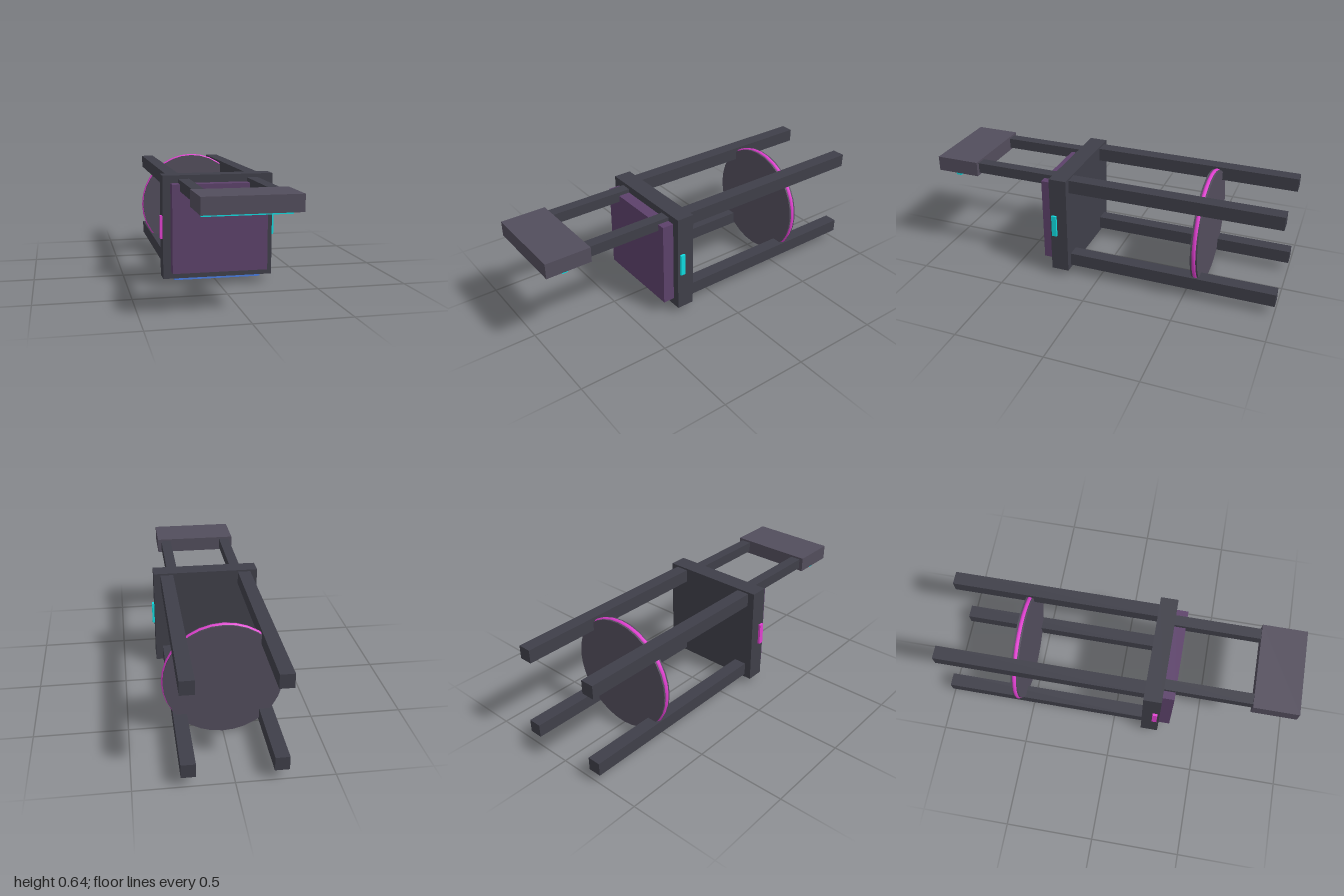
import * as THREE from 'three';

const mat = (color) => new THREE.MeshStandardMaterial({ color });

export function createModel() {
  const group = new THREE.Group();
  const frame = mat(0x3f3f49);
  const panel = mat(0x524d5c);
  const fabric = mat(0x5c416a);
  const cyan = mat(0x10dce0);
  const magenta = mat(0xe040d0);
  const blue = mat(0x4a7de0);

  // Box given by its lower and upper limits on each axis
  const box = (name, material, [x0, x1], [y0, y1], [z0, z1]) => {
    const mesh = new THREE.Mesh(new THREE.BoxGeometry(x1 - x0, y1 - y0, z1 - z0), material);
    mesh.position.set((x0 + x1) / 2, (y0 + y1) / 2, (z0 + z1) / 2);
    mesh.name = name;
    group.add(mesh);
  };

  // Chair lying on its back: upright seat and cushion
  box('seat', frame, [-0.305, 0.305], [0.038, 0.605], [0.17, 0.27]);
  box('cushion', fabric, [-0.263, 0.263], [0.08, 0.563], [0.27, 0.335]);

  // Four legs and two back posts
  for (const [side, s] of [['left', 1], ['right', -1]]) {
    const span = (c, w) => [s * c - w / 2, s * c + w / 2];
    box(side + 'LowerLeg', frame, span(0.228, 0.074), [0.056, 0.13], [-1, 0.17]);
    box(side + 'UpperLeg', frame, span(0.228, 0.074), [0.52, 0.595], [-1, 0.17]);
    box(side + 'BackPost', frame, span(0.19, 0.06), [0.526, 0.585], [0.27, 0.75]);
  }
  box('backrest', panel, [-0.242, 0.242], [0.512, 0.596], [0.75, 1]);

  // Light strips
  box('backrestStrip', cyan, [-0.22, 0.22], [0.489, 0.512], [0.873, 0.905]);
  box('leftSeatStrip', cyan, [0.305, 0.318], [0.26, 0.385], [0.23, 0.258]);
  box('rightSeatStrip', magenta, [-0.318, -0.305], [0.26, 0.385], [0.23, 0.258]);
  box('bottomSeatStrip', blue, [-0.242, 0.242], [0.025, 0.038], [0.23, 0.258]);

  // Round foot plate with a glowing rim
  const plate = new THREE.Mesh(new THREE.CylinderGeometry(0.314, 0.314, 0.04, 32), panel);
  plate.name = 'footPlate';
  plate.rotation.x = Math.PI / 2;
  plate.position.set(0, 0.322, -0.558);
  const rim = new THREE.Mesh(new THREE.TorusGeometry(0.308, 0.013, 8, 32), magenta);
  rim.name = 'footPlateRim';
  rim.position.copy(plate.position);
  group.add(plate, rim);

  return group;
}
